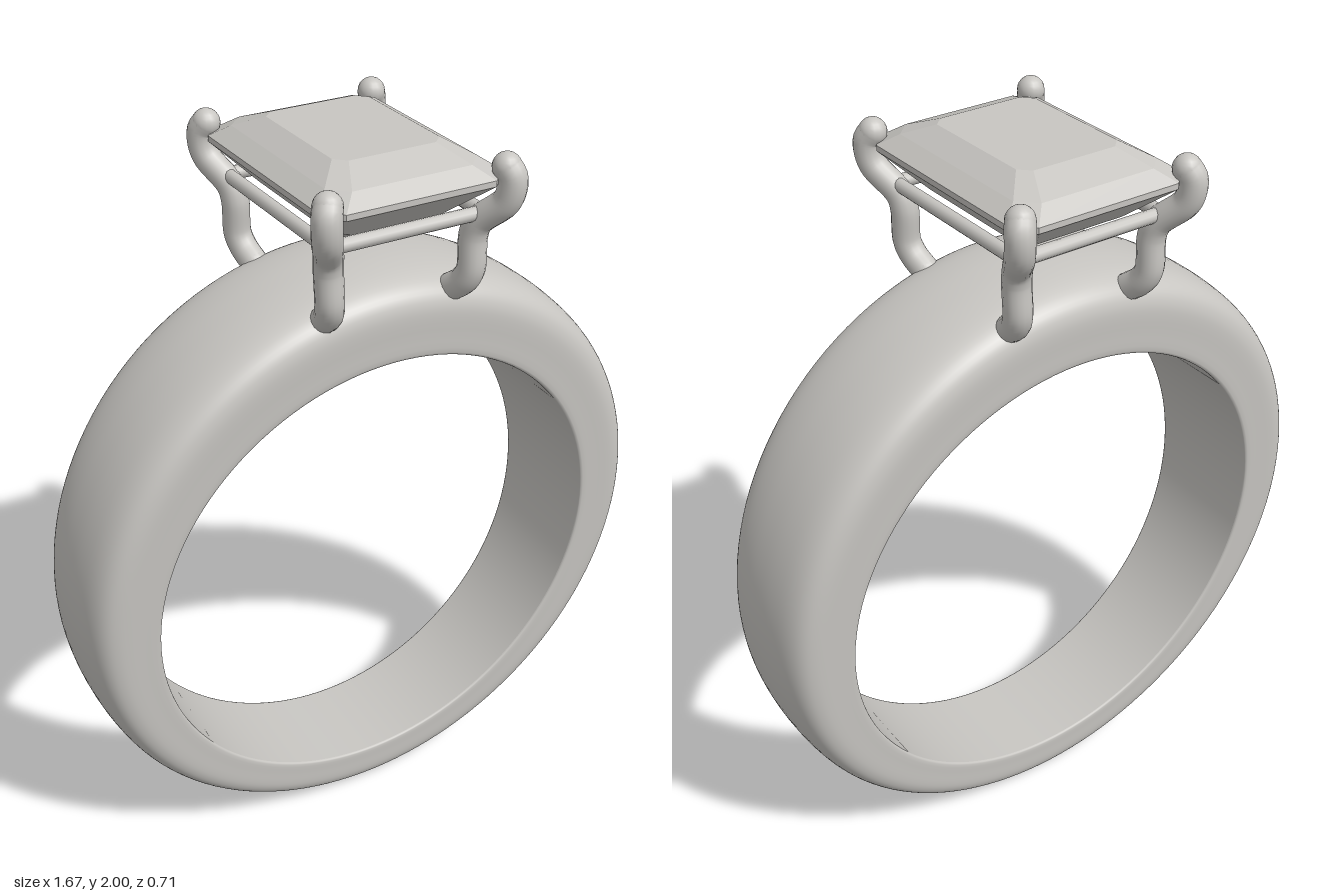
import * as THREE from 'three';

const metal = new THREE.MeshStandardMaterial({ color: 0xc8c6c2 });
metal.name = 'warm grey';

// Skin a stack of closed rows of points, each row running anticlockwise
function skin(rows, flat = false) {
  const n = rows[0].length;
  const index = [];
  for (let j = 0; j < rows.length - 1; j++) {
    for (let i = 0; i < n; i++) {
      const a = j * n + i, b = j * n + (i + 1) % n;
      index.push(a, b, b + n, a, b + n, a + n);
    }
  }
  let g = new THREE.BufferGeometry();
  g.setAttribute('position', new THREE.Float32BufferAttribute(rows.flat(2), 3));
  g.setIndex(index);
  if (flat) g = g.toNonIndexed();
  g.computeVertexNormals();
  return g;
}

function add(parent, name, geometry) {
  const mesh = new THREE.Mesh(geometry, metal);
  mesh.name = name;
  parent.add(mesh);
  return mesh;
}

// One line around the band: t runs from bore (0) to outside (1), w across the width
function bandRow(t, w) {
  const row = [], steps = 128;
  for (let i = 0; i < steps; i++) {
    const u = i / steps * Math.PI * 2;
    const r = THREE.MathUtils.lerp(0.66, 0.8375, t);
    const y = THREE.MathUtils.lerp(0.798, 0.8375, t) + r * Math.sin(u);
    row.push([r * Math.cos(u), y, w * (0.143 + 0.049 * y)]);
  }
  return row;
}

function makeBand() {
  const band = new THREE.Group();
  band.name = 'band';
  // Half of the domed cross-section, mirrored across the width
  const half = [[0, 0.96], [0.04, 1], [0.27, 1], [0.5, 1], [0.65, 0.98], [0.78, 0.92],
    [0.88, 0.8], [0.95, 0.6], [0.99, 0.3]];
  const profile = [
    ...half.map(([t, w]) => new THREE.Vector2(t, -w)),
    new THREE.Vector2(1, 0),
    ...half.map(([t, w]) => new THREE.Vector2(t, w)).reverse(),
  ];
  const section = new THREE.SplineCurve(profile).getPoints(54);
  add(band, 'bandOutside', skin(section.map(p => bandRow(p.x, p.y))));
  add(band, 'bandBore', skin([0.96, 0, -0.96].map(w => bandRow(0, w))));
  return band;
}

// Rectangle with cut corners
function gemRow(x, z, cut, y) {
  return [[x, cut - z], [x - cut, -z], [cut - x, -z], [-x, cut - z],
    [-x, z - cut], [cut - x, z], [x - cut, z], [x, z - cut]].map(([a, b]) => [a, y, b]);
}

function makeProng(sx, sz) {
  const prong = new THREE.Group();
  prong.name = 'prong';
  const path = [[0.18, 1.615, 0.185], [0.19, 1.645, 0.222], [0.197, 1.68, 0.24],
    [0.2, 1.77, 0.24], [0.206, 1.808, 0.252], [0.24, 1.868, 0.308],
    [0.247, 1.9, 0.32], [0.247, 1.935, 0.32], [0.238, 1.957, 0.308]]
    .map(([x, y, z]) => new THREE.Vector3(x * sx, y, z * sz));
  const radius = 0.036;
  add(prong, 'prongWire', new THREE.TubeGeometry(new THREE.CatmullRomCurve3(path), 48, radius, 16));
  for (const end of [path[0], path[path.length - 1]]) {
    add(prong, 'prongTip', new THREE.SphereGeometry(radius, 16, 12)).position.copy(end);
  }
  return prong;
}

export function createModel() {
  const model = new THREE.Group();
  model.name = 'ring';
  model.add(makeBand());

  // Step-cut stone, from the point up to the flat table
  add(model, 'stone', skin([
    gemRow(0, 0, 0, 1.7),
    gemRow(0.16, 0.215, 0.035, 1.83),
    gemRow(0.25, 0.325, 0.05, 1.92),
    gemRow(0.25, 0.325, 0.05, 1.935),
    gemRow(0.205, 0.28, 0.045, 1.966),
    gemRow(0.145, 0.19, 0.028, 2),
    gemRow(0, 0, 0, 2),
  ], true));

  // Setting: four prongs joined by a thin rectangular rail
  const setting = new THREE.Group();
  setting.name = 'setting';
  for (const sx of [-1, 1]) for (const sz of [-1, 1]) setting.add(makeProng(sx, sz));
  for (const s of [-1, 1]) {
    const front = add(setting, 'railAcross', new THREE.CylinderGeometry(0.018, 0.018, 0.42, 12));
    front.rotation.z = Math.PI / 2;
    front.position.set(0, 1.833, s * 0.26);
    const side = add(setting, 'railAlong', new THREE.CylinderGeometry(0.018, 0.018, 0.52, 12));
    side.rotation.x = Math.PI / 2;
    side.position.set(s * 0.21, 1.833, 0);
  }
  model.add(setting);
  return model;
}
